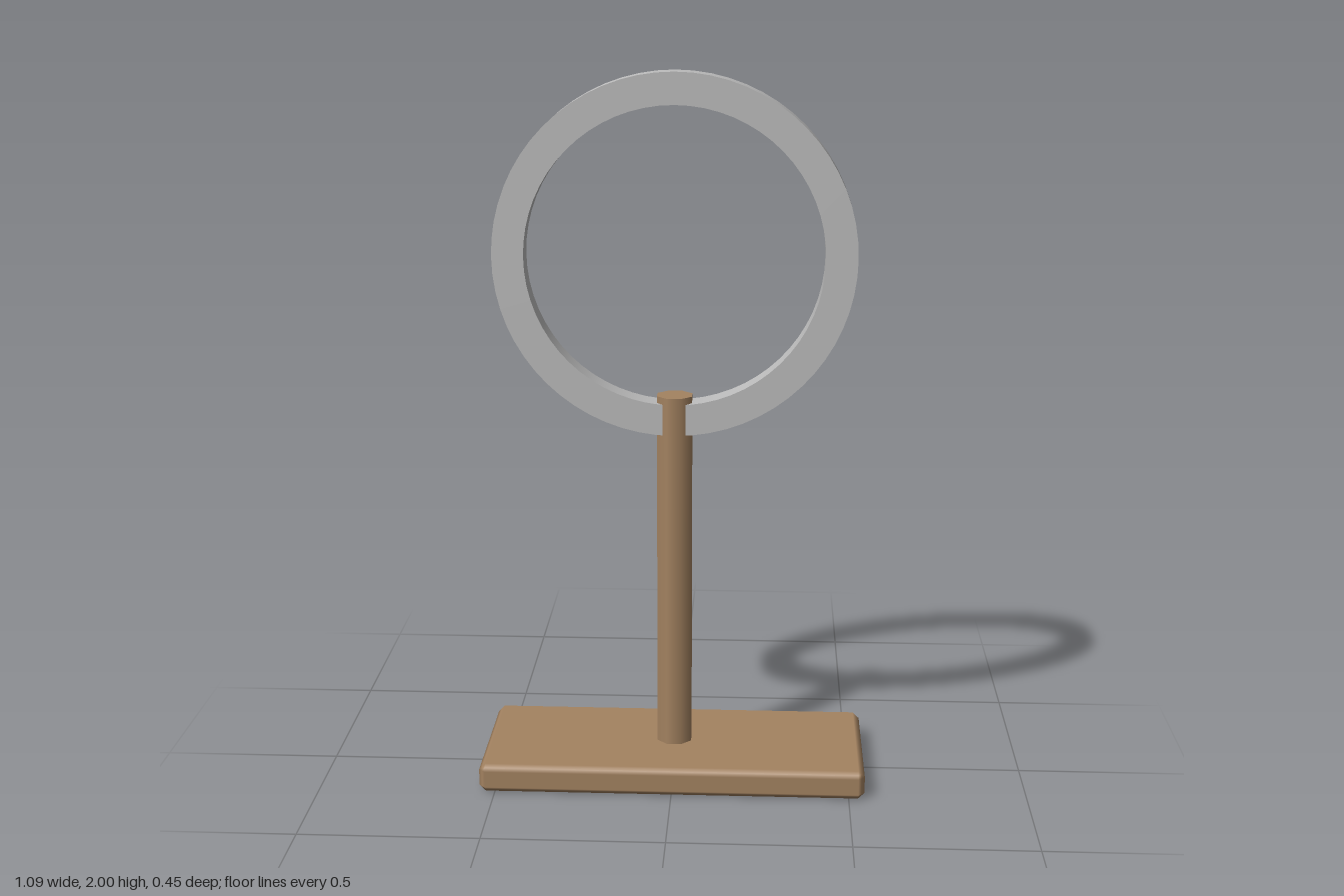
import * as THREE from 'three';

// Box with a single 45-degree bevel on every edge, shaded smoothly across the bevel
function beveledBox(w, h, d, bevel) {
  const geo = new THREE.BoxGeometry(2, 2, 2, 3, 3, 3);
  const pos = geo.attributes.position, nor = geo.attributes.normal;
  const inner = [w / 2 - bevel, h / 2 - bevel, d / 2 - bevel];
  for (let i = 0; i < pos.count; i++) {
    const p = [pos.getX(i), pos.getY(i), pos.getZ(i)];
    const outer = p.map((v) => Math.abs(v) > 0.9);
    const n = outer.filter(Boolean).length;
    // face points stay flat, edge and corner points are pulled onto the bevel
    const q = p.map((v, k) => Math.sign(v) * (inner[k] + (outer[k] ? bevel / n : 0)));
    const m = p.map((v, k) => (outer[k] ? Math.sign(v) / Math.sqrt(n) : 0));
    pos.setXYZ(i, ...q);
    nor.setXYZ(i, ...m);
  }
  return geo;
}

export function createModel() {
  const model = new THREE.Group();
  model.name = 'ringOnStand';

  const wood = new THREE.MeshStandardMaterial({ color: 0xa48361 });
  wood.name = 'brown wood';
  const metal = new THREE.MeshStandardMaterial({ color: 0xbcbcbc });
  metal.name = 'grey metal';

  const add = (name, geometry, material, y) => {
    const mesh = new THREE.Mesh(geometry, material);
    mesh.name = name;
    mesh.position.y = y;
    model.add(mesh);
  };

  // Foot plate
  const baseHeight = 0.083;
  add('base', beveledBox(1.088, baseHeight, 0.45, 0.018), wood, baseHeight / 2);

  // Eight-sided post with flats to the front and sides, rising through the ring
  const postBottom = 0.06, postTop = 1.112;
  const postRadius = 0.0485 / Math.cos(Math.PI / 8);
  const post = new THREE.CylinderGeometry(postRadius, postRadius, postTop - postBottom, 8);
  post.rotateY(Math.PI / 8);
  add('post', post, wood, (postTop + postBottom) / 2);

  // Hoop with a rectangular section; repeated corner points keep its edges sharp
  const outer = 0.4985, innerR = 0.411, half = 0.0365;
  const section = [[innerR, -half], [outer, -half], [outer, half], [innerR, half]];
  const ring = new THREE.Group();
  ring.name = 'ring';
  ring.position.y = 2 - outer;
  const sides = ['backFace', 'outerBand', 'frontFace', 'innerBand'];
  sides.forEach((name, i) => {
    const edge = [section[i], section[(i + 1) % 4]].map(([x, y]) => new THREE.Vector2(x, y));
    const strip = new THREE.LatheGeometry(edge, 64);
    strip.rotateX(Math.PI / 2);
    const mesh = new THREE.Mesh(strip, metal);
    mesh.name = name;
    ring.add(mesh);
  });
  model.add(ring);

  return model;
}
